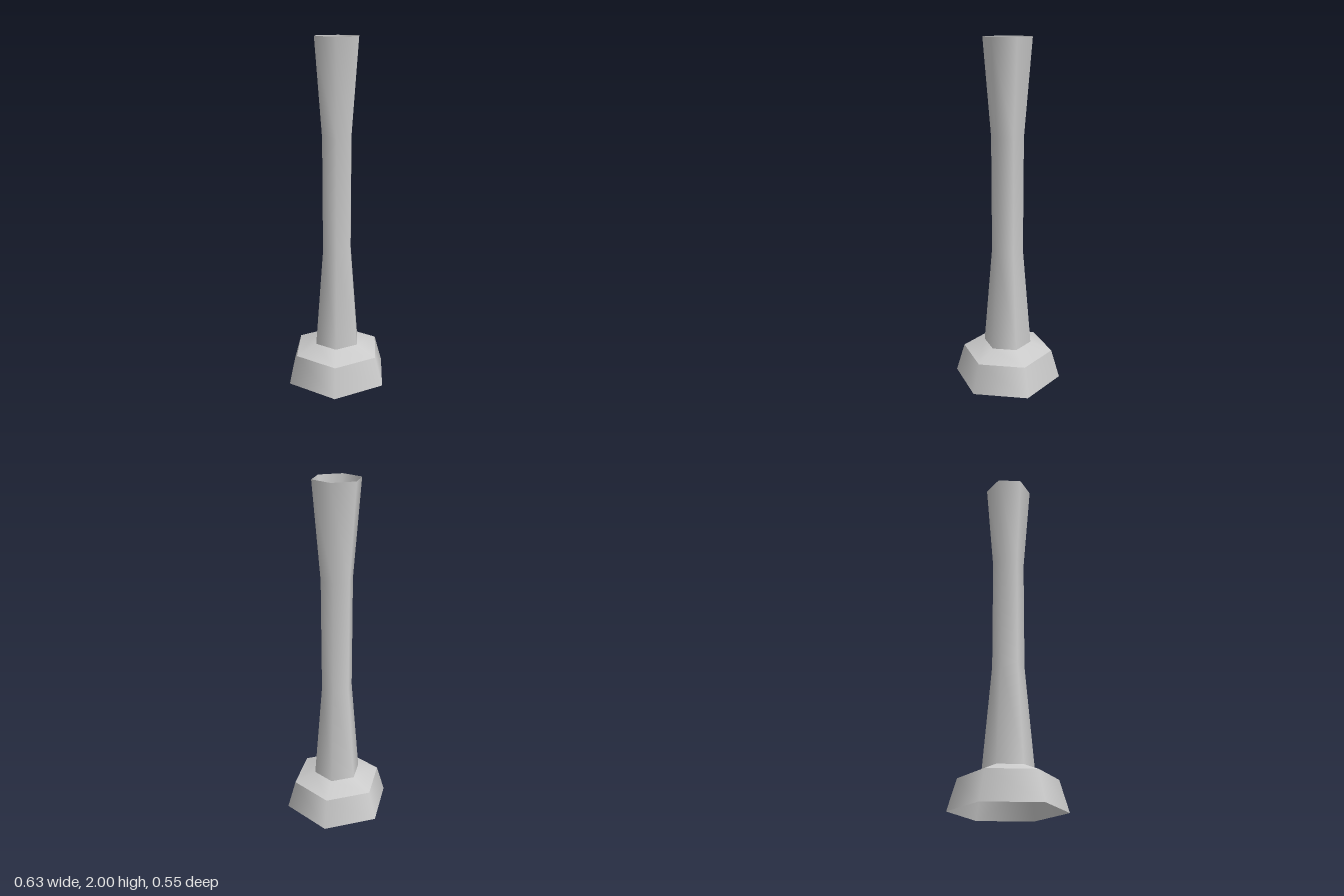
import * as THREE from 'three';

const SIDES = 6;

export function createModel() {
  const model = new THREE.Group();
  model.name = 'hexagonalPedestal';
  const material = new THREE.MeshStandardMaterial({ color: 0xcccccc, side: THREE.DoubleSide });

  // Open six-sided shell from [radius, height] pairs, with corners on the x axis
  const addShell = (name, profile) => {
    const points = profile.map(([r, y]) => new THREE.Vector2(r, y));
    const mesh = new THREE.Mesh(new THREE.LatheGeometry(points, SIDES, Math.PI / 2), material);
    mesh.name = name;
    model.add(mesh);
  };

  // Hollow foot, its sloping shoulder and the waisted open tube; separate shells keep the rings sharp
  addShell('baseSkirt', [[0.317, 0], [0.267, 0.17]]);
  addShell('baseShoulder', [[0.267, 0.17], [0.14, 0.22]]);
  addShell('flaredTube', [[0.14, 0.22], [0.091, 0.8], [0.092, 1.46], [0.136, 2]]);

  return model;
}
